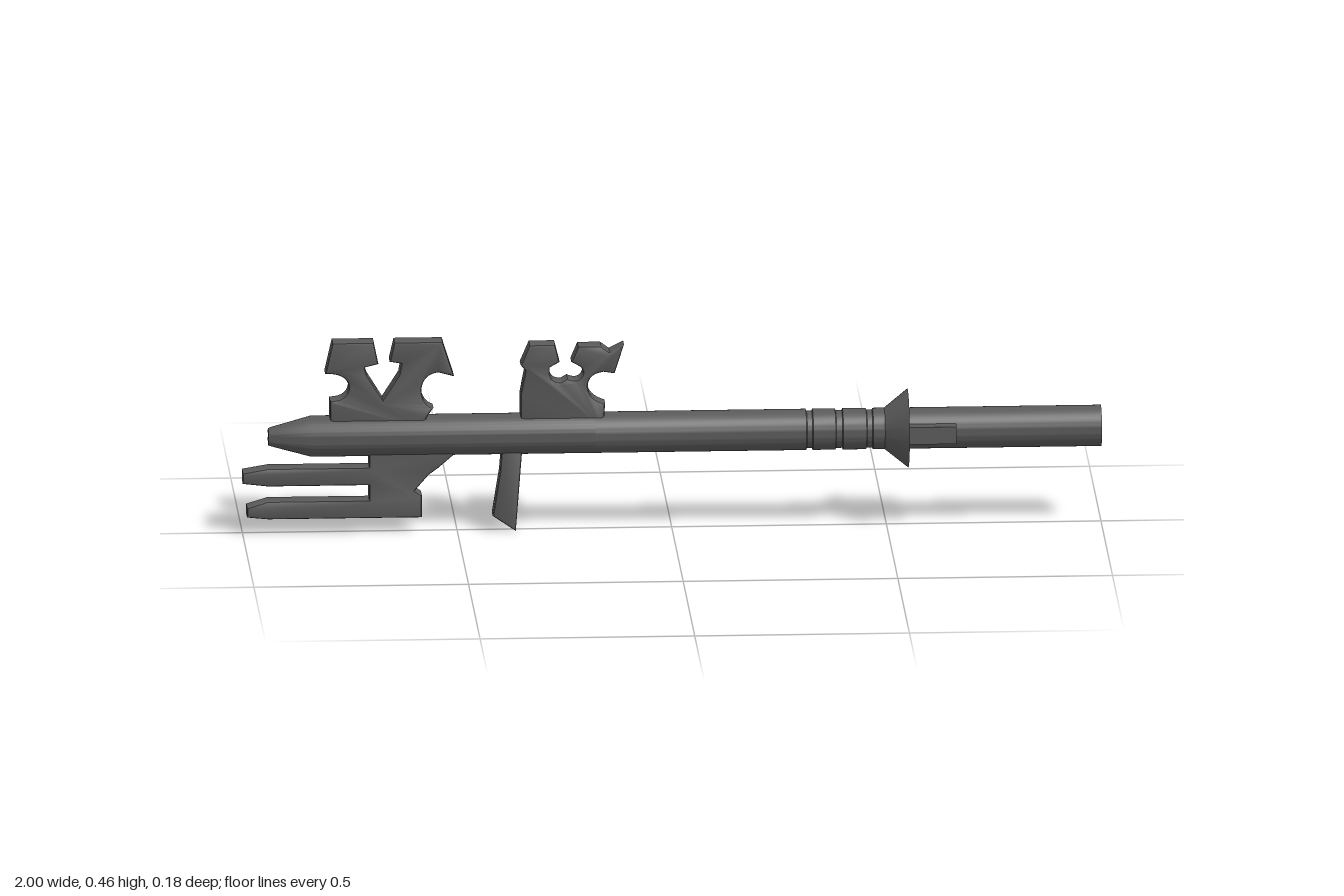
import * as THREE from 'three';
import { toCreasedNormals } from 'three/addons/utils/BufferGeometryUtils.js';

const AXIS_Y = 0.236, R = 0.048;

export function createModel() {
  const group = new THREE.Group();
  const darkMetal = new THREE.MeshStandardMaterial({ color: 0x5a5a5a });
  darkMetal.name = 'darkMetal';

  const add = (name, geometry) => {
    const mesh = new THREE.Mesh(toCreasedNormals(geometry, 0.6), darkMetal);
    mesh.name = name;
    group.add(mesh);
    return mesh;
  };

  // Bevelled flat plate; a 4-number point is a curve (control, end), units are 1/1000
  const plate = (name, points) => {
    const shape = new THREE.Shape();
    points.forEach((p, i) => {
      const q = p.map((v) => v / 1000);
      if (i === 0) shape.moveTo(...q);
      else if (q.length === 4) shape.quadraticCurveTo(...q);
      else shape.lineTo(...q);
    });
    const b = 0.007;
    const geometry = new THREE.ExtrudeGeometry(shape, {
      depth: 0.05 - 2 * b, bevelThickness: b, bevelSize: b, bevelOffset: -b,
      bevelSegments: 2, curveSegments: 8,
    });
    add(name, geometry.translate(0, 0, -0.025 + b));
  };

  // Plain shaft with decorative rings and the flared collar
  const profile = [
    [0, -0.18], [R, -0.18], [R, 0.312], [0.044, 0.314], [0.044, 0.326], [R, 0.328],
    [R, 0.38], [0.044, 0.382], [0.044, 0.396], [R, 0.398], [R, 0.452], [0.044, 0.454],
    [0.044, 0.466], [R, 0.468], [R, 0.495], [0.092, 0.55], [R, 0.551], [R, 1], [0, 1],
  ].map(([r, x]) => new THREE.Vector2(r, x));
  const shaft = new THREE.LatheGeometry(profile, 48).rotateZ(-Math.PI / 2);
  add('shaft', shaft).position.y = AXIS_Y;

  // Slotted shaft end, tapering to the tip
  const section = new THREE.Shape();
  const a = Math.asin(0.014 / R);
  section.absarc(0, 0, R, a, Math.PI * 2 - a, false);
  section.lineTo(0.03, -0.014);
  section.lineTo(0.03, 0.014);
  section.closePath();
  const tip = new THREE.ExtrudeGeometry(section, { depth: 3, steps: 3, bevelEnabled: false, curveSegments: 44 });
  const stations = [-0.94, -0.925, -0.84, -0.18], scales = [0.42, 0.52, 1, 1];
  const pos = tip.attributes.position;
  for (let i = 0; i < pos.count; i++) {
    const k = Math.round(pos.getZ(i));
    pos.setXYZ(i, pos.getX(i) * scales[k], pos.getY(i) * scales[k], stations[k]);
  }
  tip.rotateY(Math.PI / 2);
  add('slottedTip', tip).position.y = AXIS_Y;

  // Locking tabs behind the collar
  for (const side of [-1, 1]) {
    const tab = add(side > 0 ? 'frontTab' : 'backTab', new THREE.BoxGeometry(0.112, 0.041, 0.04));
    tab.position.set(0.604, AXIS_Y, side * 0.055);
  }

  // Twin-headed upper bit
  plate('upperBit', [
    [-797, 250], [-797, 326], [-755, 326, -753, 358], [-756, 390, -808, 390],
    [-791, 465], [-695, 465], [-684, 412], [-716, 404], [-711, 386], [-674, 326],
    [-636, 386], [-631, 412], [-658, 417], [-647, 465], [-535, 465], [-508, 380],
    [-545, 390], [-580, 385, -584, 350], [-583, 315, -556, 305], [-572, 282], [-572, 250],
  ]);

  // Small upper bit with a curved cut-out
  plate('smallUpperBit', [
    [-353, 250], [-353, 335], [-342, 392], [-353, 405], [-332, 454], [-273, 454], [-262, 411],
    [-285, 398], [-288, 362, -258, 364], [-244, 372], [-215, 358, -207, 385],
    [-212, 398], [-235, 411], [-219, 449], [-166, 449], [-146, 434], [-112, 451],
    [-134, 382], [-160, 386], [-198, 380, -196, 350], [-194, 322, -156, 310], [-160, 250],
  ]);

  // Lower bit body with two prongs
  plate('lowerBit', [
    [-706, 210], [-706, 165], [-941, 165], [-1000, 155], [-1000, 128], [-941, 121],
    [-706, 121], [-706, 86], [-941, 86], [-990, 71], [-990, 47], [-941, 42], [-583, 42],
    [-583, 96], [-599, 107], [-567, 144], [-545, 160], [-508, 192], [-508, 210],
  ]);

  // Single lower tooth
  plate('lowerTooth', [[-396, 215], [-401, 150], [-418, 43], [-364, 6], [-348, 215]]);

  return group;
}
